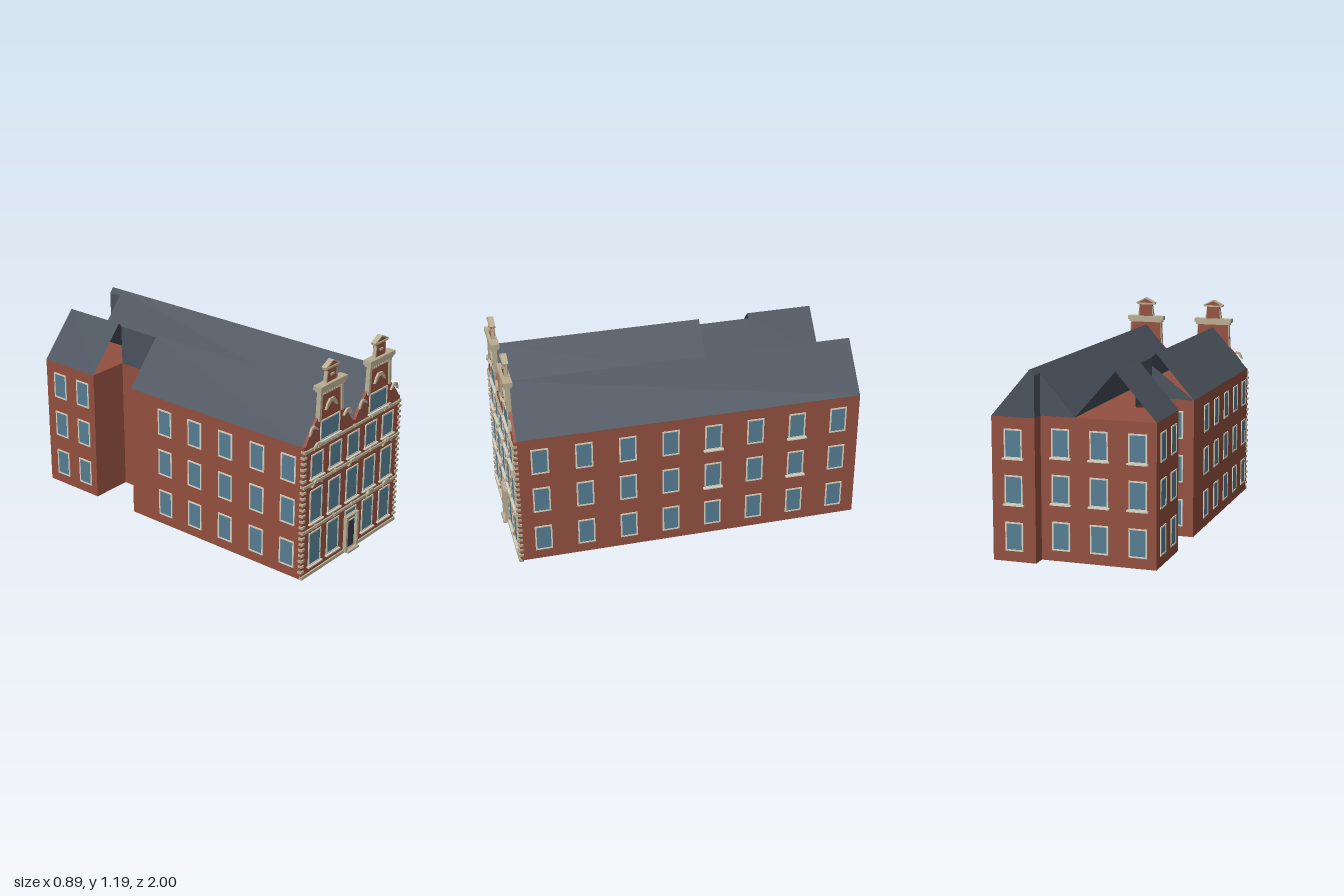
import * as THREE from 'three';

const mat = (color, side = THREE.FrontSide) => new THREE.MeshStandardMaterial({ color, side, flatShading: true });
const brick = mat(0x93503f), stone = mat(0xb9ad92), trim = mat(0xd9d4c2), glass = mat(0x557d92);
const dark = mat(0x333d46), slate = mat(0x4a525d, THREE.DoubleSide);

const EAVE = 0.77, RIDGE = 1.02, FACE = 0.965; // FACE: front plane of the facade

export function createModel() {
  const root = new THREE.Group();
  const add = (parent, name, geo, m, x = 0, y = 0, z = 0) => {
    const mesh = new THREE.Mesh(geo, m);
    mesh.name = name;
    mesh.position.set(x, y, z);
    parent.add(mesh);
    return mesh;
  };
  const box = (parent, name, m, w, h, d, x, y, z) => add(parent, name, new THREE.BoxGeometry(w, h, d), m, x, y, z);
  const shape = (pts) => new THREE.Shape(pts.map(([x, y]) => new THREE.Vector2(x, y)));
  const slab = (s, depth) => new THREE.ExtrudeGeometry(s, { depth, bevelEnabled: false, curveSegments: 6 });
  const group = (name) => {
    const g = new THREE.Group();
    g.name = name;
    root.add(g);
    return g;
  };

  // Brick body: plan with the courtyard notch and the rear extension
  const plan = [[-0.44, 0.95], [0.43, 0.95], [0.43, -0.98], [0.19, -0.98], [0.19, -0.9],
    [-0.44, -0.9], [-0.44, -0.52], [-0.2, -0.52], [-0.2, -0.23], [-0.44, -0.23]];
  add(root, 'walls', slab(shape(plan.map(([x, z]) => [x, -z])), EAVE).rotateX(-Math.PI / 2), brick);

  // Roof: flat convex panels
  const roof = group('roof');
  const panel = (name, ...c) => {
    const geo = new THREE.BufferGeometry();
    geo.setAttribute('position', new THREE.Float32BufferAttribute(c.flat(), 3));
    const idx = [];
    for (let i = 1; i < c.length - 1; i++) idx.push(0, i, i + 1);
    geo.setIndex(idx);
    geo.computeVertexNormals();
    add(roof, name, geo, slate);
  };
  const slope = (x0, y0, x1, y1, zf, zb) =>
    panel('roofSlope', [x0, y0, zf], [x1, y1, zf], [x1, y1, zb], [x0, y0, zb]);
  for (const [zf, zb] of [[0.95, -0.23], [-0.52, -0.9]]) {
    slope(-0.44, EAVE, -0.22, RIDGE, zf, zb);
    slope(-0.22, RIDGE, 0, EAVE, zf, zb);
  }
  slope(-0.2, 0.997, 0, EAVE, -0.23, -0.52);
  slope(0, EAVE, 0.215, RIDGE, 0.95, -0.9);
  slope(0.19, 0.99, 0.215, RIDGE, -0.9, -0.98);
  slope(0.215, RIDGE, 0.43, EAVE, 0.95, -0.98);
  panel('rearGable', [0, EAVE, -0.9], [0.19, 0.99, -0.9], [0.19, EAVE, -0.9]);
  panel('extensionGable', [0.19, EAVE, -0.98], [0.19, 0.99, -0.98], [0.215, RIDGE, -0.98], [0.43, EAVE, -0.98]);
  panel('extensionCheek', [0.19, EAVE, -0.9], [0.19, 0.99, -0.9], [0.19, 0.99, -0.98], [0.19, EAVE, -0.98]);
  panel('notchCheek', [-0.2, EAVE, -0.23], [-0.2, 0.997, -0.23], [-0.2, 0.997, -0.52], [-0.2, EAVE, -0.52]);
  panel('notchGable', [-0.44, EAVE, -0.23], [-0.2, EAVE, -0.23], [-0.2, 0.95, -0.23]);

  // Window: framed pane whose outer side faces +z before turning
  const windowAt = (parent, w, h, x, y, z, turn = 0, sill = 0) => {
    const g = new THREE.Group();
    g.name = 'window';
    g.position.set(x, y, z);
    g.rotation.y = turn;
    parent.add(g);
    const b = 0.008;
    box(g, 'pane', glass, w - b, h - b, 0.004, 0, 0, 0);
    for (const s of [-1, 1]) {
      box(g, 'frameSide', trim, b, h, 0.01, s * (w - b) / 2, 0, 0);
      box(g, 'frameRail', trim, w, b, 0.01, 0, s * (h - b) / 2, 0);
    }
    if (sill) box(g, 'sill', trim, w + 0.016, 0.008, sill, 0, -h / 2 - 0.002, sill / 2);
  };

  // Side, rear and courtyard windows, three storeys each
  const sides = group('sideAndRearWindows');
  const H = Math.PI / 2;
  for (const y of [0.135, 0.385, 0.63]) {
    const upper = y > 0.2;
    for (let i = 0; i < 8; i++)
      windowAt(sides, 0.096, 0.155, 0.43, y, 0.83 - i * 0.241, H, upper && (i === 4 || i === 6) ? 0.018 : 0);
    for (const z of [0.87, 0.665, 0.45, 0.235, 0.02, -0.61, -0.79]) windowAt(sides, 0.096, 0.155, -0.44, y, z, -H);
    for (const x of [-0.34, -0.13, 0.08]) windowAt(sides, 0.1, 0.155, x, y, -0.9, Math.PI, upper ? 0.018 : 0);
    windowAt(sides, 0.1, 0.155, 0.31, y, -0.98, Math.PI, upper ? 0.018 : 0);
    windowAt(sides, 0.1, 0.155, -0.33, y, -0.23, Math.PI);
  }

  // Facade wall with twin curved gables
  const facade = group('facade');
  const s = new THREE.Shape();
  s.moveTo(-0.44, 0);
  s.lineTo(0.44, 0);
  s.lineTo(0.44, EAVE);
  for (const c of [0.22, -0.22]) {
    s.lineTo(c + 0.205, 0.78);
    s.quadraticCurveTo(c + 0.165, 0.84, c + 0.1, 0.905);
    s.lineTo(c + 0.095, 1.05);
    s.lineTo(c - 0.095, 1.05);
    s.lineTo(c - 0.1, 0.905);
    s.quadraticCurveTo(c - 0.165, 0.84, c - 0.205, EAVE);
  }
  s.lineTo(-0.44, EAVE);
  add(facade, 'facadeWall', slab(s, 0.017), brick, 0, 0, FACE - 0.017);

  // Facade windows; the door replaces the middle one at ground level
  for (const [lo, hi] of [[0.055, 0.252], [0.31, 0.502], [0.57, 0.708]])
    for (const x of [-0.325, -0.163, 0, 0.163, 0.325])
      if (x || lo > 0.1) windowAt(facade, 0.108, hi - lo, x, (lo + hi) / 2, FACE, 0, 0.015);

  // Stone plinth, string courses and small keystones
  box(facade, 'plinth', stone, 0.885, 0.018, 0.018, 0, 0.009, FACE);
  for (const y of [0.275, 0.54, 0.74]) {
    box(facade, 'stringCourse', stone, 0.88, 0.014, 0.018, 0, y, FACE);
    for (const x of [-0.325, -0.163, 0, 0.163, 0.325])
      box(facade, 'keystone', stone, 0.014, 0.016, 0.014, x, y + 0.005, FACE + 0.008);
  }

  // Corner quoins
  for (const side of [-1, 1])
    for (let i = 0; i < 22; i++)
      box(facade, 'quoin', stone, i % 2 ? 0.02 : 0.026, 0.013, 0.026, side * 0.434, 0.045 + i * 0.0333, FACE - 0.004);

  // Door with transom and stone surround
  const door = group('door');
  box(door, 'doorLeaf', dark, 0.08, 0.16, 0.012, 0, 0.095, FACE);
  windowAt(door, 0.105, 0.035, 0, 0.197, FACE + 0.004);
  windowAt(door, 0.108, 0.038, 0, 0.235, FACE);
  for (const side of [-1, 1]) {
    box(door, 'pilaster', stone, 0.016, 0.205, 0.026, side * 0.05, 0.11, FACE + 0.008);
    box(door, 'doorJamb', trim, 0.006, 0.16, 0.018, side * 0.04, 0.095, FACE);
  }
  box(door, 'doorHead', stone, 0.115, 0.008, 0.028, 0, 0.216, FACE + 0.008);
  box(door, 'doorStep', stone, 0.1, 0.012, 0.034, 0, 0.006, FACE + 0.017);

  // Carved garland: a drooping crescent of given width
  const garland = (w, h, x, y, tilt = 0) => {
    const a = w / 2;
    const pts = [[-a, 0], [-a * 0.75, h * 0.55], [-a * 0.35, h], [a * 0.35, h], [a * 0.75, h * 0.55], [a, 0],
      [a * 0.62, h * 0.15], [a * 0.25, h * 0.62], [-a * 0.25, h * 0.62], [-a * 0.62, h * 0.15]].reverse();
    add(facade, 'garland', slab(shape(pts), 0.012), stone, x, y, FACE).rotation.z = tilt;
  };
  for (const [x, y] of [[-0.325, 0.522], [0, 0.522], [0.325, 0.522], [-0.32, 0.732], [0.32, 0.732], [0.18, 0.265], [0.34, 0.265]])
    garland(0.095, 0.032, x, y);

  // Gable dressings, repeated on both gables
  for (const c of [-0.22, 0.22]) {
    windowAt(facade, 0.17, 0.115, c, 0.818, FACE, 0, 0.015);
    garland(0.105, 0.052, c, 0.927);
    for (const side of [-1, 1]) {
      garland(0.075, 0.038, c + side * 0.148, 0.832, side * -0.2);
      const strip = shape([[-0.009, 0], [0.009, 0], [0.009, 0.165], [-0.009, 0.165]]);
      add(facade, 'neckPilaster', slab(strip, 0.026), stone, c + side * 0.099, 0.88, FACE - 0.016).rotation.z = side * 0.05;
    }
    for (let i = 0; i < 9; i++)
      box(facade, 'dentil', stone, 0.009, 0.018, 0.014, c - 0.08 + i * 0.02, 1.03, FACE + 0.006);
    box(facade, 'corniceLower', stone, 0.215, 0.014, 0.04, c, 1.044, FACE - 0.004);
    box(facade, 'corniceUpper', stone, 0.232, 0.024, 0.05, c, 1.062, FACE - 0.004);

    // Pedestal and small pediment
    box(facade, 'pedestal', brick, 0.082, 0.075, 0.022, c, 1.112, FACE - 0.008);
    box(facade, 'pedestalBadge', stone, 0.028, 0.012, 0.01, c, 1.112, FACE + 0.004);
    for (const side of [-1, 1])
      box(facade, 'pedestalScroll', stone, 0.008, 0.06, 0.02, c + side * 0.043, 1.106, FACE - 0.006).rotation.z = side * 0.15;
    box(facade, 'pedimentBase', stone, 0.115, 0.01, 0.03, c, 1.152, FACE - 0.006);
    add(facade, 'pediment', slab(shape([[-0.052, 0], [0.052, 0], [0, 0.026]]), 0.022), brick, c, 1.157, FACE - 0.018);
    for (const side of [-1, 1])
      box(facade, 'pedimentRake', stone, 0.068, 0.007, 0.03, c + side * 0.031, 1.171, FACE - 0.006).rotation.z = -side * 0.46;
  }
  return root;
}
